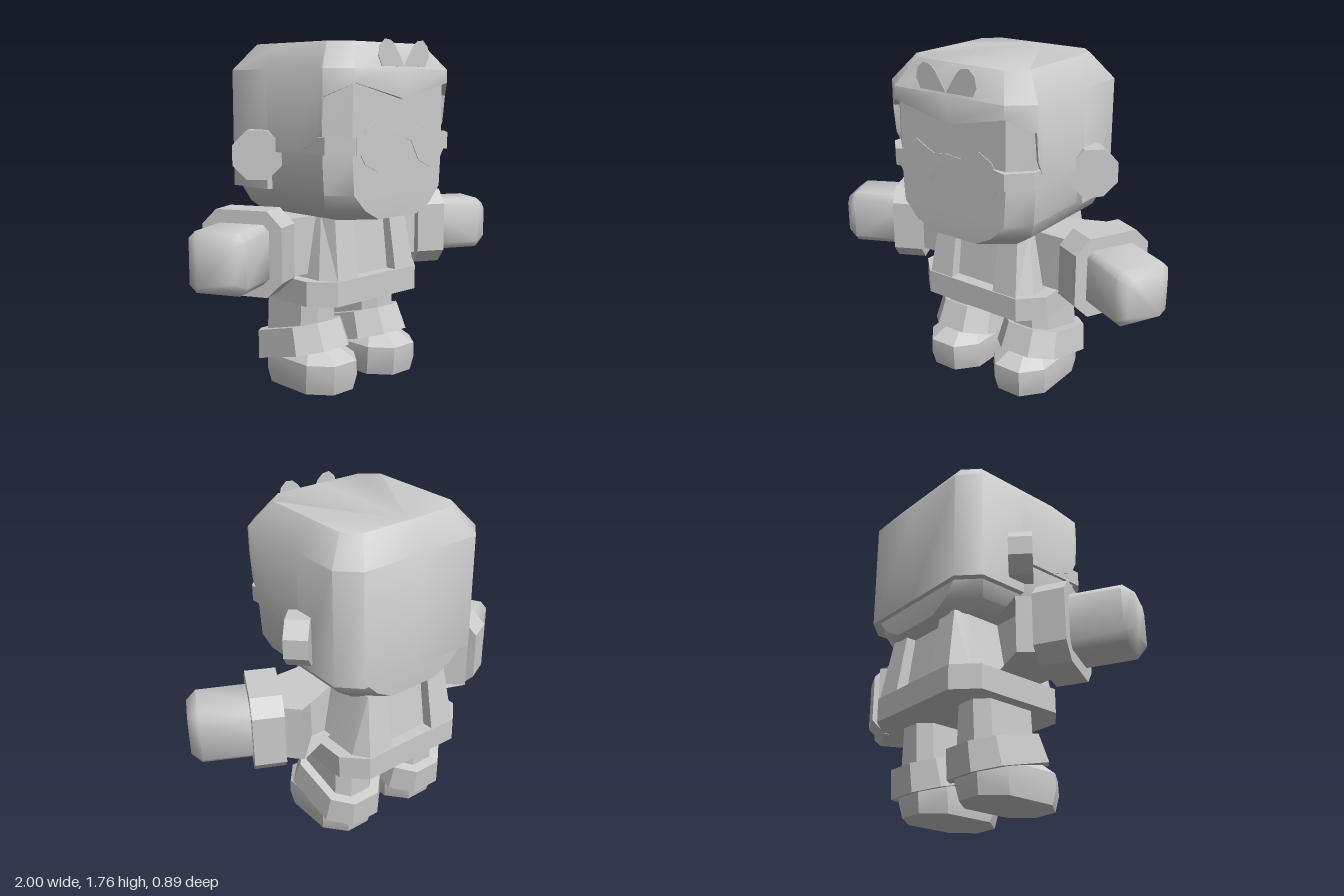
import * as THREE from 'three';
import { toCreasedNormals } from 'three/addons/utils/BufferGeometryUtils.js';

const grey = new THREE.MeshStandardMaterial({ color: 0xcccccc });
grey.name = 'lightGrey';

// Joins rings of [x, y, z] points, listed from bottom to top
function loft(rings, crease = 0.6, capBottom = true) {
  const n = rings[0].length, idx = [];
  for (let r = 0; r < rings.length - 1; r++) {
    for (let i = 0; i < n; i++) {
      const a = r * n + i, b = r * n + (i + 1) % n;
      idx.push(a, a + n, b, b, a + n, b + n);
    }
  }
  const top = (rings.length - 1) * n;
  for (let i = 1; i < n - 1; i++) {
    idx.push(top, top + i + 1, top + i);
    if (capBottom) idx.push(0, i, i + 1);
  }
  const g = new THREE.BufferGeometry();
  g.setAttribute('position', new THREE.Float32BufferAttribute(rings.flat(2), 3));
  g.setIndex(idx);
  return toCreasedNormals(g, crease);
}

// Rectangle with cut corners; slope raises the front of the ring
function oct(y, hx, hz, cx, { cz = cx, x = 0, z = 0, slope = 0 } = {}) {
  const a = hx - cx, b = hz - cz;
  return [[hx, -b], [hx, b], [a, hz], [-a, hz], [-hx, b], [-hx, -b], [-a, -hz], [a, -hz]]
    .map(([px, pz]) => [px + x, y + slope * pz, pz + z]);
}

function plate(points, z) {
  const shape = new THREE.Shape(points.map(([x, y]) => new THREE.Vector2(x, y)));
  const g = new THREE.ExtrudeGeometry(shape, { depth: 0.004, bevelEnabled: false });
  return g.translate(0, 0, z);
}

function add(parent, name, geometry) {
  const m = new THREE.Mesh(geometry, grey);
  m.name = name;
  parent.add(m);
  return m;
}

// Cap of hair with a pointed fringe and a long back
function hairGeometry() {
  const half = [
    [0, 0.44, 1.48], [0.33, 0.44, 1.555], [0.44, 0.34, 1.49], [0.44, 0.325, 1.35],
    [0.44, 0.29, 1.28], [0.44, 0.15, 1.22], [0.44, -0.06, 1.22], [0.44, -0.07, 1.03],
    [0.44, -0.34, 1.03], [0.34, -0.44, 1.03], [0, -0.44, 1.03],
  ];
  const left = half.slice(1, -1).map(([x, z, y]) => [-x, z, y]);
  // Walk from the back along +x to the front, then along -x to the back
  const rim = [...half.slice().reverse(), ...left];
  const ring = (s, h) => rim.map(([x, z, y]) => [x * s, h ?? y, z * s]);
  return loft([ring(0.93), ring(1), ring(1, 1.62), ring(0.77, 1.75)], 0.9, false);
}

function buildSide(side) {
  // Ear disc turned half outwards
  const ear = new THREE.CylinderGeometry(0.132, 0.132, 0.12, 8);
  ear.rotateY(Math.PI / 8).rotateX(Math.PI / 2).rotateY(Math.PI / 4).translate(0.463, 1.203, -0.108);
  add(side, 'ear', toCreasedNormals(ear, 0.5));

  // Vest panel
  const panel = (y, a, hx, front, back) => [
    [0.135, y, back], [a, y, back], [hx, y, back + 0.08],
    [hx, y, front - 0.08], [a, y, front], [0.135, y, front],
  ];
  add(side, 'vestPanel', loft([panel(0.58, 0.28, 0.335, 0.275, -0.415), panel(0.91, 0.25, 0.27, 0.22, -0.36)], 0.3));

  // Sleeve bent at the elbow
  const plan = [[0.2, -0.1], [0.41, -0.1], [0.555, -0.24], [0.68, -0.1], [0.6, 0.1], [0.49, 0.105], [0.2, 0.105]];
  add(side, 'sleeve', loft([0.61, 0.9].map((y) => plan.map(([x, z]) => [x, y, z])), 0.3));

  // Cuff and hand along the forearm
  const forearm = new THREE.Group();
  forearm.name = 'forearm';
  forearm.position.set(0.618, 0.754, 0.003);
  forearm.rotation.y = -0.466;
  side.add(forearm);
  add(forearm, 'cuff', loft([oct(-0.078, 0.207, 0.207, 0.075), oct(0.078, 0.207, 0.207, 0.075)], 0.3)
    .rotateZ(-Math.PI / 2));
  add(forearm, 'hand', loft([
    oct(0, 0.143, 0.143, 0.03), oct(0.325, 0.143, 0.143, 0.035), oct(0.375, 0.108, 0.108, 0.03),
  ], 1).rotateZ(-Math.PI / 2));

  // Leg, boot top and shoe
  const x = 0.22;
  add(side, 'leg', loft([
    oct(0.14, 0.128, 0.19, 0.06, { x, z: -0.07 }), oct(0.48, 0.112, 0.19, 0.06, { x, z: -0.07 }),
  ]));
  add(side, 'bootTop', loft([
    oct(0.155, 0.186, 0.25, 0.1, { x, z: -0.05, slope: 0.26 }),
    oct(0.295, 0.168, 0.227, 0.09, { x, z: -0.085, slope: 0.26 }),
  ]));
  add(side, 'shoe', loft([
    oct(0, 0.158, 0.245, 0.09, { x, z: 0.005, cz: 0.11 }),
    oct(0.08, 0.17, 0.262, 0.09, { x, z: 0.005, cz: 0.11 }),
    oct(0.155, 0.166, 0.262, 0.09, { x, z: 0.005, cz: 0.11 }),
    oct(0.22, 0.1, 0.17, 0.06, { x, z: -0.01 }),
  ], 0.4));

  // Half of the bow on the fringe
  add(side, 'bowLeaf', plate([
    [0, 1.633], [0.155, 1.633], [0.18, 1.68], [0.17, 1.73], [0.135, 1.76], [0.095, 1.755], [0.065, 1.73],
  ], 0.44));
}

export function createModel() {
  const model = new THREE.Group();
  model.name = 'figure';

  // Head narrowing at the chin
  add(model, 'head', loft([
    oct(0.9, 0.3, 0.412, 0.16, { cz: 0.12 }),
    oct(0.95, 0.375, 0.414, 0.14, { cz: 0.13 }),
    oct(1.03, 0.41, 0.414, 0.1),
    oct(1.2, 0.42, 0.414, 0.1),
    oct(1.6, 0.42, 0.414, 0.1),
  ], 0.75));
  add(model, 'hair', hairGeometry());

  // Glasses: band round the head and a flat front
  const band = { z: 0.05 };
  add(model, 'glassesBand', loft([oct(1.222, 0.435, 0.395, 0.1, band), oct(1.305, 0.435, 0.395, 0.1, band)], 0.3));
  const lens = [
    [0, 1.29], [0.05, 1.275], [0.08, 1.225], [0.11, 1.175], [0.19, 1.14], [0.27, 1.175], [0.3, 1.222],
    [0.33, 1.222], [0.33, 1.305], [0.28, 1.315], [0.265, 1.345], [0.19, 1.385], [0.115, 1.345], [0.08, 1.33], [0, 1.34],
  ];
  const mirrored = lens.slice(1, -1).reverse().map(([x, y]) => [-x, y]);
  add(model, 'glassesFront', plate([...lens, ...mirrored], 0.444));

  // Body and hem
  add(model, 'torso', loft([
    oct(0.5, 0.31, 0.295, 0.08, { z: -0.07 }), oct(0.92, 0.25, 0.24, 0.07, { z: -0.065 }),
  ], 0.3));
  add(model, 'hem', loft([
    oct(0.462, 0.395, 0.35, 0.11, { z: -0.07 }), oct(0.588, 0.395, 0.35, 0.11, { z: -0.07 }),
  ], 0.3));

  // Left side and its mirror image
  for (const s of [1, -1]) {
    const side = new THREE.Group();
    side.name = s > 0 ? 'leftSide' : 'rightSide';
    side.scale.x = s;
    buildSide(side);
    model.add(side);
  }
  return model;
}
